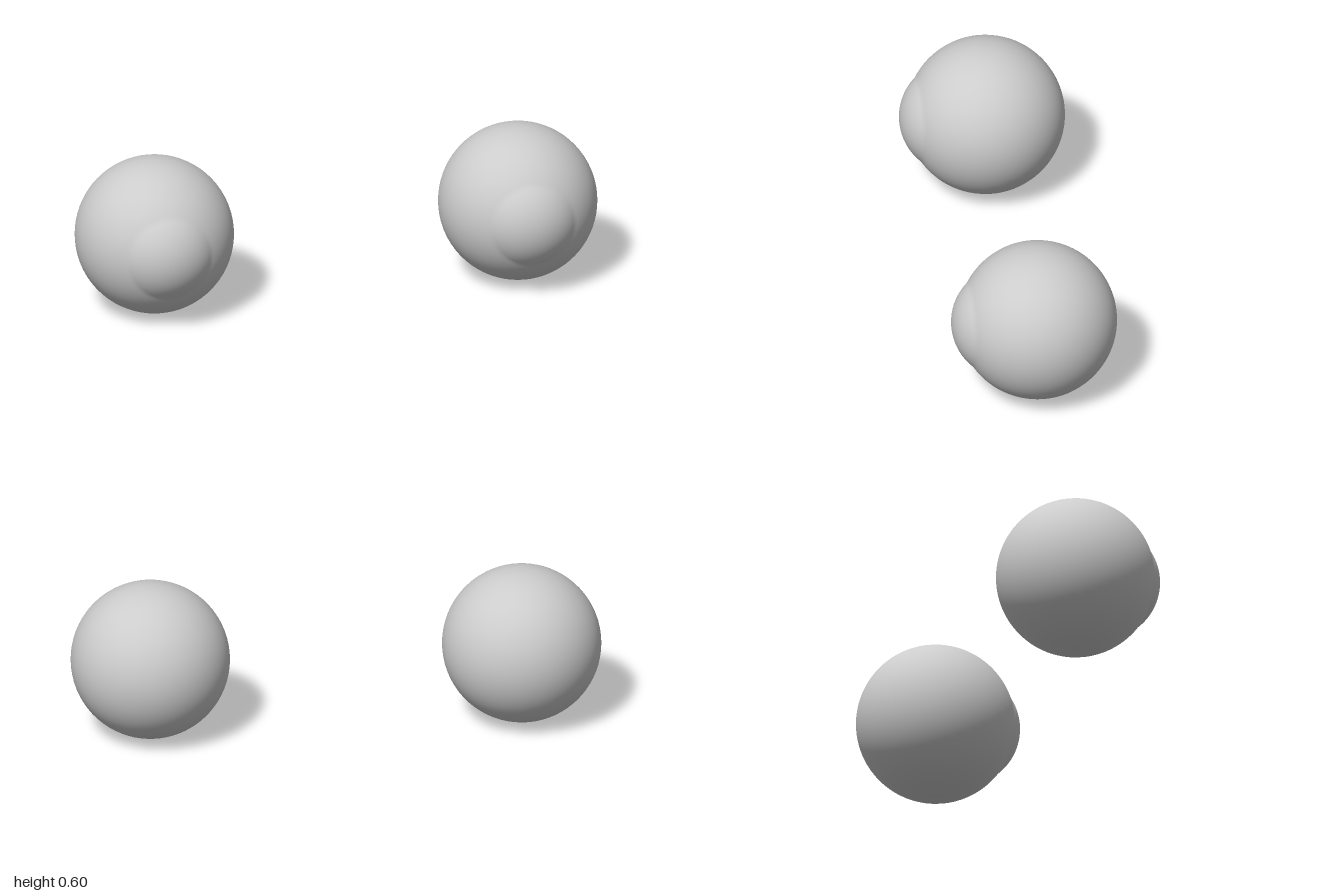
import * as THREE from 'three';

const BALL_R = 0.299, BALL_Z = -0.013; // white of the eye
const RIM_R = 0.16, APEX_Z = 0.312;    // rim and tip of the cornea

// Half outline from the back pole to the tip of the cornea
function eyeProfile() {
  const points = [];
  const rimAngle = Math.PI - Math.asin(RIM_R / BALL_R);
  const rimZ = BALL_Z - BALL_R * Math.cos(rimAngle);
  const backSteps = 56, frontSteps = 16;
  for (let i = 0; i <= backSteps; i++) {
    const a = rimAngle * i / backSteps;
    points.push(new THREE.Vector2(BALL_R * Math.sin(a), BALL_Z - BALL_R * Math.cos(a)));
  }
  // Cornea: a tighter spherical cap through the rim and the tip
  const rise = APEX_Z - rimZ;
  const capR = (RIM_R * RIM_R + rise * rise) / (2 * rise);
  const capAngle = Math.asin(RIM_R / capR);
  for (let i = 1; i <= frontSteps; i++) {
    const a = capAngle * (1 - i / frontSteps);
    points.push(new THREE.Vector2(capR * Math.sin(a), APEX_Z - capR + capR * Math.cos(a)));
  }
  return points;
}

export function createModel() {
  const group = new THREE.Group();
  group.name = 'eyes';
  const material = new THREE.MeshStandardMaterial({ color: 0xcccccc });
  // Turned about the viewing axis, cornea towards +z
  const geometry = new THREE.LatheGeometry(eyeProfile(), 72).rotateX(Math.PI / 2);
  for (const [name, side] of [['leftEye', 1], ['rightEye', -1]]) {
    const eye = new THREE.Mesh(geometry, material);
    eye.name = name;
    eye.position.set(side * (1 - BALL_R), BALL_R, 0);
    group.add(eye);
  }
  return group;
}
